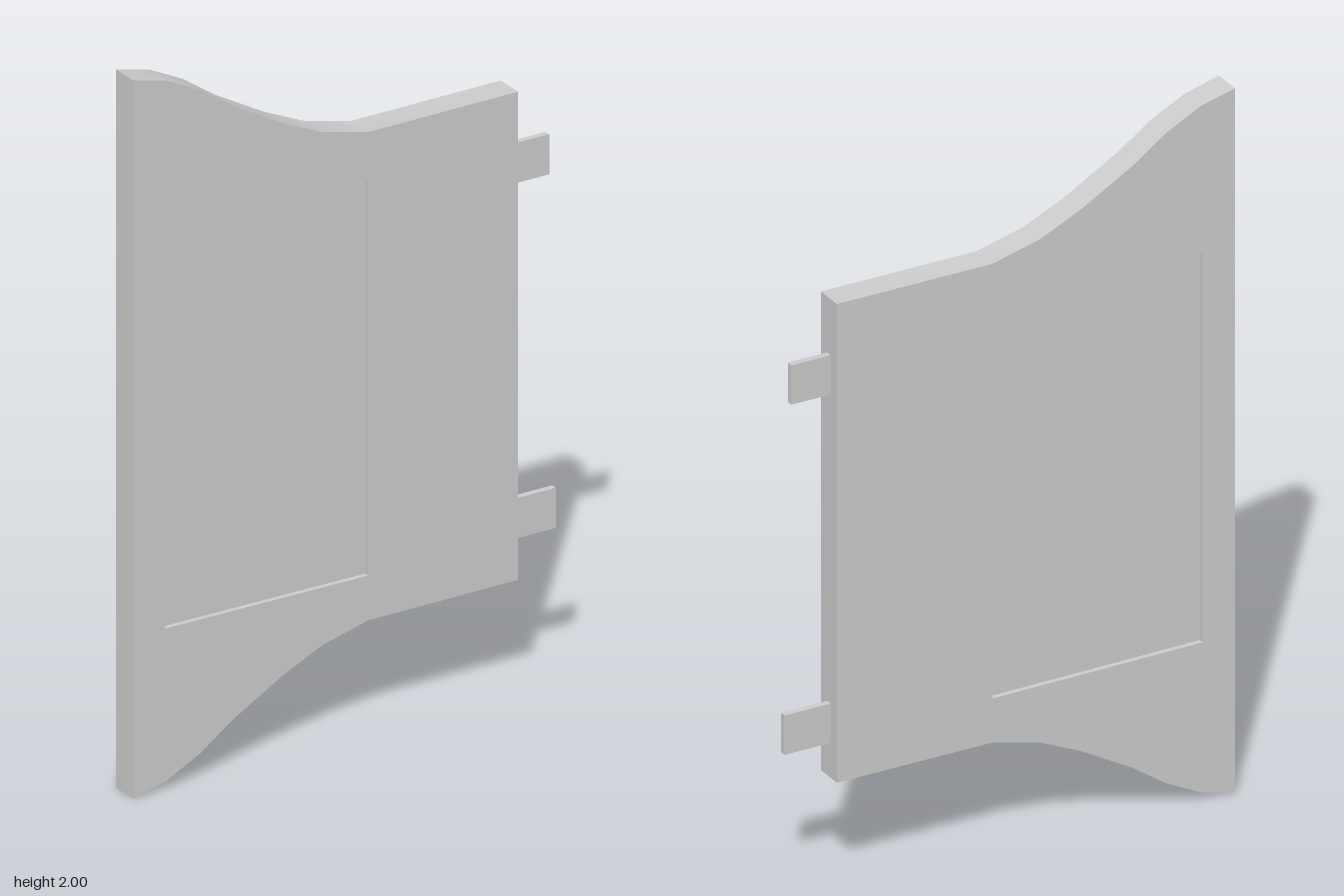
import * as THREE from 'three';
import { toCreasedNormals } from 'three/addons/utils/BufferGeometryUtils.js';

const THICKNESS = 0.082;
const RECESS = 0.014;

export function createModel() {
  const model = new THREE.Group();
  const material = new THREE.MeshStandardMaterial({ color: 0xcccccc });
  const add = (name, geometry) => {
    const mesh = new THREE.Mesh(geometry, material);
    mesh.name = name;
    model.add(mesh);
    return mesh;
  };
  const extrude = (shape, depth) =>
    new THREE.ExtrudeGeometry(shape, { depth, bevelEnabled: false }).translate(0, 0, -depth / 2);
  const toPoints = (list) => list.map(([x, y]) => new THREE.Vector2(x, y));

  // Door outline: swept upper edge, mirrored about y = 1 for the lower edge
  const upper = [[-0.65, 2], [-0.55, 1.975], [-0.45, 1.925], [-0.35, 1.855],
    [-0.2, 1.77], [-0.08, 1.715], [0.06, 1.68], [0.515, 1.68]];
  const lower = upper.map(([x, y]) => [x, 2 - y]);
  const outline = new THREE.Shape(toPoints([...lower, ...upper.slice().reverse()]));

  // Slightly skewed panel opening through the door
  const panel = [[-0.555, 0.45], [0.06, 0.445], [0.06, 1.545], [-0.555, 1.555]];
  outline.holes.push(new THREE.Path(toPoints(panel)));
  add('doorFrame', toCreasedNormals(extrude(outline, THICKNESS), 0.5));

  // Thinner panel, recessed on both faces
  add('recessedPanel', extrude(new THREE.Shape(toPoints(panel)), THICKNESS - 2 * RECESS));

  // Flat hinge tabs on the straight edge
  for (const [name, end, y] of [['upperHingeTab', 0.63, 1.465], ['lowerHingeTab', 0.65, 0.475]]) {
    const start = 0.5;
    add(name, new THREE.BoxGeometry(end - start, 0.112, 0.018)).position.set((start + end) / 2, y, 0);
  }
  return model;
}
